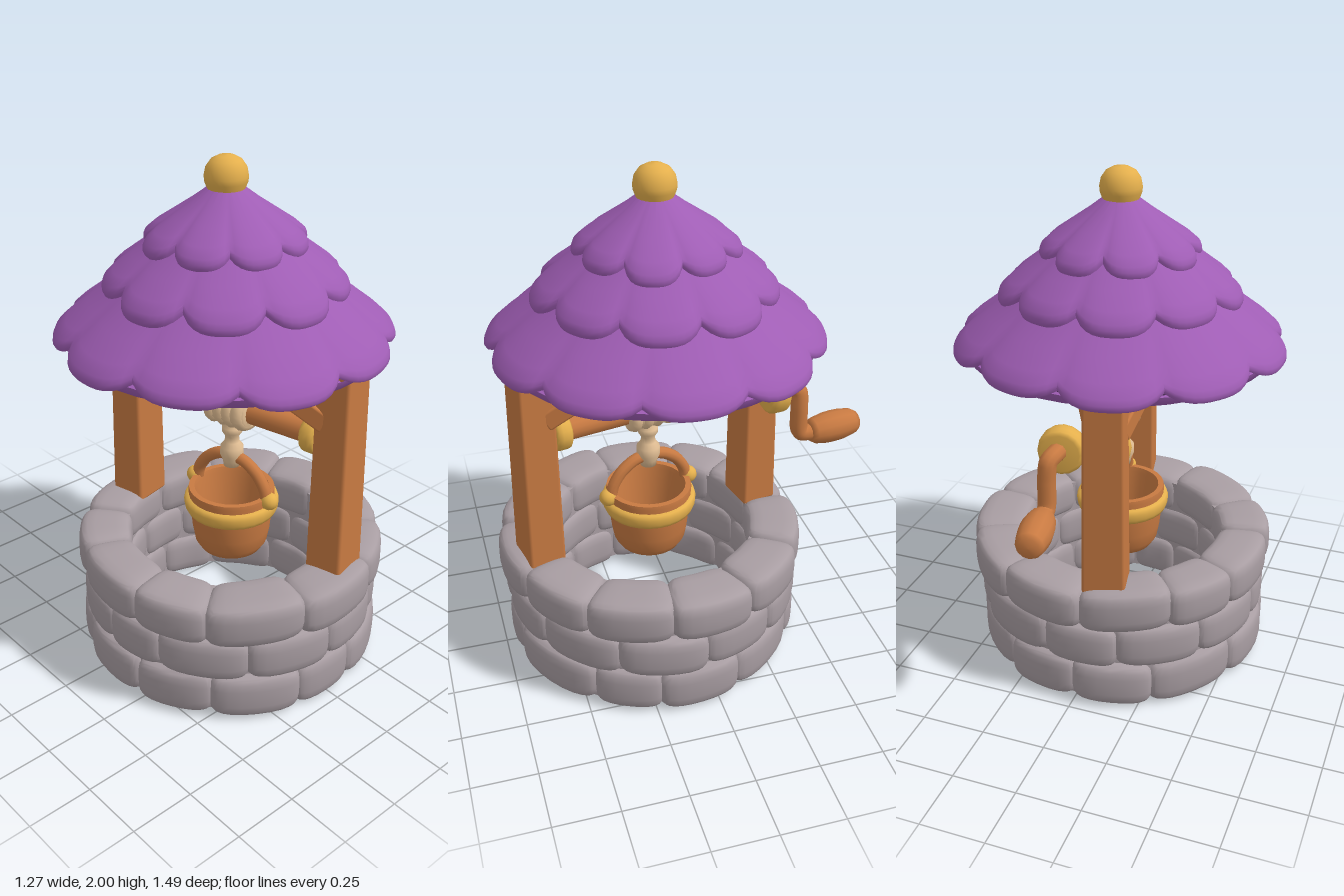
import * as THREE from 'three';
import { toCreasedNormals } from 'three/addons/utils/BufferGeometryUtils.js';
import { RoundedBoxGeometry } from 'three/addons/geometries/RoundedBoxGeometry.js';

const mat = (name, color, side = THREE.FrontSide) => {
  const m = new THREE.MeshStandardMaterial({ color, side });
  m.name = name;
  return m;
};

let seed = 7;
const rand = () => {
  seed = (seed * 16807) % 2147483647;
  return seed / 2147483647;
};
const jitter = (a) => (rand() * 2 - 1) * a;

const V = (x, y, z) => new THREE.Vector3(x, y, z);

function add(parent, name, geometry, material, x = 0, y = 0, z = 0) {
  const mesh = new THREE.Mesh(geometry, material);
  mesh.name = name;
  mesh.position.set(x, y, z);
  parent.add(mesh);
  return mesh;
}

const lathe = (pts, segs = 24) =>
  new THREE.LatheGeometry(pts.map(([r, y]) => new THREE.Vector2(r, y)), segs);

// Puffy disc, centred, with its axis along z
const collarGeo = (r, t) => lathe([[0, -t / 2], [r * 0.8, -t / 2], [r * 0.95, -t * 0.38], [r, -t * 0.15],
  [r, t * 0.15], [r * 0.95, t * 0.38], [r * 0.8, t / 2], [0, t / 2]], 16).rotateX(Math.PI / 2);

const tube = (pts, r, segs = 32) =>
  new THREE.TubeGeometry(new THREE.CatmullRomCurve3(pts, false, 'catmullrom', 0.4), segs, r, 10);

// One pillowy stone bent around the well axis
function stoneGeo(angle, span, y, h, rIn, rOut) {
  const geo = new THREE.BoxGeometry(2, 2, 2, 10, 8, 8);
  const p = geo.attributes.position;
  const tilt = jitter(0.01);
  const ease = (t) => Math.sin(t * Math.PI / 2);
  const v = new THREE.Vector3();
  for (let i = 0; i < p.count; i++) {
    v.set(ease(p.getX(i)), ease(p.getY(i)), ease(p.getZ(i)));
    const size = Math.pow(Math.abs(v.x) ** 4.5 + Math.abs(v.y) ** 4.5 + Math.abs(v.z) ** 4.5, 1 / 4.5);
    v.divideScalar(size);
    const a = angle + v.x * span / 2;
    const r = (rIn + rOut) / 2 + v.z * (rOut - rIn) / 2;
    p.setXYZ(i, r * Math.sin(a), y + v.y * h / 2 + tilt * v.x, r * Math.cos(a));
  }
  geo.deleteAttribute('uv');
  return toCreasedNormals(geo, 1.2);
}

// Conical tier whose lower edge is cut into scallops
function tierGeo({ n, turn, r0, y0, r1, y1, notch, thick }) {
  const per = 12, cols = n * per, pos = [], idx = [];
  const len = Math.hypot(r1 - r0, y0 - y1);
  const nr = (y0 - y1) / len, ny = (r1 - r0) / len;
  const reach = Array.from({ length: n }, () => 1 + jitter(0.025));
  // Each entry: distance down the slope, lift off the slope (negative hangs straight down)
  const profile = [[0, 0], [0.3, 0.1], [0.55, 0.35], [0.8, 0.6], [0.94, 0.5], [0.99, 0.1], [1, -0.4], [0.98, -1], [0.74, -1.2]];
  for (let i = 0; i <= cols; i++) {
    const k = Math.floor(i / per) % n;
    const u = ((i % per) / per) * 2 - 1;
    const s = 1 - Math.pow(Math.abs(u), 3);
    const a = turn + (i / cols) * Math.PI * 2;
    const edge = (1 - notch * (1 - s)) * (1 + (reach[k] - 1) * s);
    for (const [t, lift] of profile) {
      const d = t * edge;
      const o = Math.max(lift, 0) * thick * (0.3 + 0.7 * s);
      const r = r0 + (r1 - r0) * d + nr * o;
      const y = y0 + (y1 - y0) * d + ny * o + Math.min(lift, 0) * thick;
      pos.push(r * Math.sin(a), y, r * Math.cos(a));
    }
  }
  const m = profile.length;
  for (let i = 0; i < cols; i++) {
    for (let j = 0; j < m - 1; j++) {
      const a = i * m + j, b = a + m;
      idx.push(a, a + 1, b, a + 1, b + 1, b);
    }
  }
  const geo = new THREE.BufferGeometry();
  geo.setAttribute('position', new THREE.Float32BufferAttribute(pos, 3));
  geo.setIndex(idx);
  return toCreasedNormals(geo, 0.75);
}

// Square beam between two points
function beam(parent, name, a, b, w, material) {
  const mesh = add(parent, name, new RoundedBoxGeometry(w, w, a.distanceTo(b), 2, 0.01), material);
  mesh.position.copy(a).lerp(b, 0.5);
  const dir = b.clone().sub(a).normalize();
  const across = V(0, 1, 0).cross(dir).normalize();
  mesh.quaternion.setFromRotationMatrix(new THREE.Matrix4().makeBasis(across, dir.clone().cross(across), dir));
}

export function createModel() {
  const well = new THREE.Group();
  well.name = 'well';
  const stone = mat('stone', 0xa89da2);
  const wood = mat('wood', 0xc87a42);
  const gold = mat('gold', 0xe5b04d);
  const rope = mat('rope', 0xe6c297);
  const shingle = mat('shingle', 0x9f5db4, THREE.DoubleSide);
  const lining = mat('roofLining', 0x392243, THREE.DoubleSide);

  // Stone wall in three staggered courses
  const wall = new THREE.Group();
  wall.name = 'stoneWall';
  wall.position.z = 0.125;
  well.add(wall);
  const courses = [
    { n: 11, y: 0.102, h: 0.19, r: 0.596, turn: 0.28 },
    { n: 11, y: 0.27, h: 0.185, r: 0.594, turn: 0 },
    { n: 11, y: 0.435, h: 0.175, r: 0.612, turn: 0.3 },
  ];
  for (const c of courses) {
    const step = (Math.PI * 2) / c.n;
    const joints = Array.from({ length: c.n }, (_, i) => c.turn + i * step + jitter(0.09));
    for (let i = 0; i < c.n; i++) {
      const end = i + 1 < c.n ? joints[i + 1] : joints[0] + Math.PI * 2;
      const span = end - joints[i];
      add(wall, 'stone', stoneGeo((joints[i] + end) / 2, span + 0.05, c.y, c.h, 0.395, c.r + jitter(0.01)), stone);
    }
  }
  const mortar = lathe([[0.415, 0.03], [0.56, 0.03], [0.56, 0.49], [0.415, 0.49], [0.415, 0.03]], 40);
  add(wall, 'mortar', toCreasedNormals(mortar, 0.6), stone);

  // Frame turned slightly about the well axis
  const frame = new THREE.Group();
  frame.name = 'frame';
  frame.position.set(0.004, 0, 0.13);
  frame.rotation.y = 0.21;
  well.add(frame);
  for (const side of [1, -1]) {
    const geo = new RoundedBoxGeometry(0.156, 0.84, 0.138, 2, 0.012);
    const p = geo.attributes.position;
    for (let i = 0; i < p.count; i++) {
      const k = 1.02 - 0.12 * p.getY(i);
      p.setX(i, p.getX(i) * k);
      p.setZ(i, p.getZ(i) * k);
    }
    add(frame, side > 0 ? 'frontPost' : 'backPost', geo, wood, 0, 0.91, side * 0.476);
    // Pair of braces spreading inward under the roof
    for (const s of [1, -1]) {
      beam(frame, 'brace', V(s * 0.04, 1.12, side * 0.44), V(s * 0.165, 1.34, side * 0.13), 0.075, wood);
    }
  }

  // Axle with end collars
  add(frame, 'axle', new THREE.CylinderGeometry(0.048, 0.048, 0.88, 16).rotateX(Math.PI / 2), wood, 0, 1.035, 0);
  add(frame, 'frontCollar', collarGeo(0.078, 0.065), gold, 0, 1.035, 0.37);
  add(frame, 'backCollar', collarGeo(0.084, 0.07), gold, 0, 1.035, -0.385);

  // Rope wound on the axle, with a hanging end tied in a knot
  add(frame, 'ropeCore', collarGeo(0.076, 0.19), rope, 0, 1.035, 0);
  for (let i = 0; i < 4; i++) {
    add(frame, 'ropeCoil', new THREE.TorusGeometry(0.056, 0.028, 8, 20), rope, 0, 1.035, -0.069 + i * 0.046)
      .rotation.y = jitter(0.12);
  }
  add(frame, 'hangingRope', lathe([[0, 0.77], [0.032, 0.775], [0.036, 0.8], [0.047, 0.825], [0.046, 0.86], [0.03, 0.88],
    [0.027, 0.905], [0.04, 0.925], [0.04, 0.945], [0.028, 0.96], [0.024, 1]], 16), rope);

  // Hollow bucket with band, ears and hoop handle
  const bucket = new THREE.Group();
  bucket.name = 'bucket';
  frame.add(bucket);
  const bucketShape = lathe([[0, 0.395], [0.09, 0.398], [0.125, 0.413], [0.145, 0.445], [0.155, 0.5], [0.172, 0.665], [0.17, 0.68],
    [0.148, 0.68], [0.142, 0.66], [0.118, 0.45], [0, 0.45]], 28);
  add(bucket, 'bucketBody', toCreasedNormals(bucketShape, 0.7), wood);
  add(bucket, 'bucketBand', lathe([[0.16, 0.58], [0.178, 0.583], [0.186, 0.6], [0.189, 0.625], [0.183, 0.643], [0.165, 0.646]], 28), gold);
  const hoop = Array.from({ length: 9 }, (_, i) => {
    const a = (i / 8) * Math.PI;
    return V(0, 0.645 + 0.175 * Math.sin(a), 0.17 * Math.cos(a));
  });
  add(bucket, 'bucketHandle', tube(hoop, 0.024), wood);
  for (const s of [1, -1]) {
    add(bucket, 'handleEar', new THREE.SphereGeometry(0.035, 14, 10), gold, 0, 0.67, s * 0.18);
  }

  // Crank beside the back post
  const crank = new THREE.Group();
  crank.name = 'crank';
  well.add(crank);
  add(crank, 'crankCollar', collarGeo(0.09, 0.085), gold, 0.06, 1.06, -0.365).rotation.y = 0.15;
  add(crank, 'crankArm', tube([V(0.06, 1.065, -0.34), V(0.065, 1.067, -0.43), V(0.075, 1.05, -0.465), V(0.08, 0.98, -0.47),
    V(0.08, 0.89, -0.472), V(0.08, 0.86, -0.49), V(0.075, 0.855, -0.56)], 0.035, 48), wood);
  const grip = add(crank, 'crankGrip', lathe([[0, -0.112], [0.04, -0.11], [0.053, -0.09], [0.062, -0.04], [0.064, 0],
    [0.062, 0.04], [0.053, 0.09], [0.04, 0.11], [0, 0.112]], 12).rotateX(Math.PI / 2), wood, 0.058, 0.855, -0.627);
  grip.rotation.y = 0.17;

  // Roof of three scalloped tiers with a dark lining
  const roof = new THREE.Group();
  roof.name = 'roof';
  roof.position.z = 0.09;
  well.add(roof);
  const tiers = [
    { n: 10, turn: -0.03, r0: 0.33, y0: 1.6, r1: 0.64, y1: 1.334, notch: 0.15, thick: 0.025 },
    { n: 9, turn: 0.3, r0: 0.19, y0: 1.765, r1: 0.458, y1: 1.53, notch: 0.19, thick: 0.026 },
    { n: 8, turn: 0.1, r0: 0.045, y0: 1.9, r1: 0.308, y1: 1.69, notch: 0.18, thick: 0.025 },
  ];
  for (const t of tiers) add(roof, 'shingleTier', tierGeo(t), shingle);
  add(roof, 'roofRim', lathe([[0.53, 1.325], [0.56, 1.308], [0.59, 1.312], [0.602, 1.345]], 40), shingle);
  add(roof, 'roofLining', lathe([[0.535, 1.323], [0.3, 1.53], [0, 1.74]], 40), lining);
  add(roof, 'finial', lathe([[0.062, 1.86], [0.068, 1.88], [0.078, 1.905], [0.08, 1.925], [0.074, 1.956], [0.056, 1.982],
    [0.03, 1.996], [0, 2]], 24), gold);

  return well;
}
